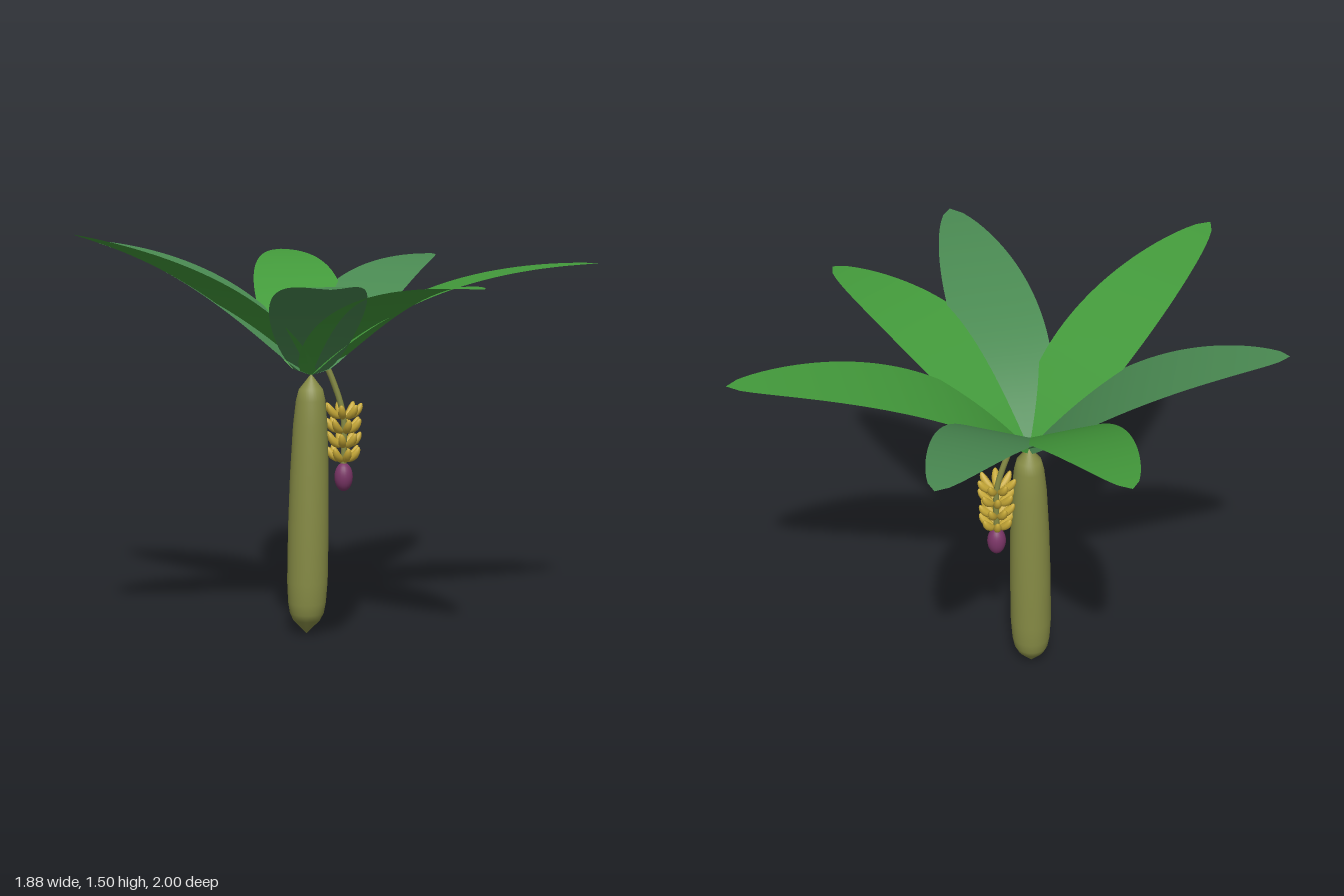
import * as THREE from 'three';

const paint = (name, color, side = THREE.FrontSide) => {
  const m = new THREE.MeshStandardMaterial({ color, side });
  m.name = name;
  return m;
};

export function createModel() {
  const bright = paint('bright leaf green', 0x439a3b, THREE.DoubleSide);
  const cool = paint('cool leaf green', 0x4a8a52, THREE.DoubleSide);
  const olive = paint('stem olive', 0x868b45);
  const yellow = paint('fruit yellow', 0xc8aa38);
  const purple = paint('bud purple', 0x7a3566);

  const tree = new THREE.Group();
  tree.name = 'bananaPlant';
  const add = (parent, name, geometry, material) => {
    const mesh = new THREE.Mesh(geometry, material);
    mesh.name = name;
    parent.add(mesh);
    return mesh;
  };

  // Trunk: pointed at both ends, leaning slightly towards +x
  const profile = [[0, 0], [0.05, 0.053], [0.063, 0.08], [0.07, 0.12], [0.075, 0.2], [0.075, 0.4],
    [0.071, 0.6], [0.063, 0.78], [0.054, 0.87], [0.044, 0.91], [0, 0.967]];
  const trunk = new THREE.LatheGeometry(profile.map(p => new THREE.Vector2(...p)), 32);
  const tp = trunk.attributes.position;
  for (let i = 0; i < tp.count; i++) tp.setX(i, tp.getX(i) - 0.12 + 0.02 * tp.getY(i));
  trunk.translate(0, 0, -0.1);
  add(tree, 'trunk', trunk, olive);

  // Leaves: broad blades that rise from the crown and level out to a pointed tip
  const crown = new THREE.Group();
  crown.name = 'leafCrown';
  crown.position.set(-0.1, 0.96, -0.105);
  tree.add(crown);
  const tips = [[0.94, 1.365, -0.03], [0.445, 1.355, -0.815], [-0.14, 1.365, -1], [-0.88, 1.43, -0.51],
    [-0.94, 1.5, 0.35], [-0.14, 1.36, 1], [0.39, 1.335, 0.73]];
  tips.forEach((tip, i) => {
    const dx = tip[0] - crown.position.x, dz = tip[2] - crown.position.z;
    const length = Math.hypot(dx, dz), rise = tip[1] - crown.position.y;
    const blade = new THREE.PlaneGeometry(1, 1, 4, 32);
    const pos = blade.attributes.position;
    for (let k = 0; k < pos.count; k++) {
      const t = pos.getY(k) + 0.5;
      const along = 2 * t * (1 - t) * 0.35 + t * t * length;
      const up = 2 * t * (1 - t) * Math.min(0.4, rise + 0.01) + t * t * rise;
      const swell = Math.max(0, Math.sin(Math.PI * Math.pow(Math.min(1, along / length), 0.7)));
      pos.setXYZ(k, pos.getX(k) * 0.332 * Math.pow(swell, 0.62), up, -along);
    }
    blade.computeVertexNormals();
    const leaf = add(crown, 'leaf' + (i + 1), blade, i % 2 ? cool : bright);
    leaf.rotation.y = Math.atan2(-dx, -dz);
  });

  // Fruit stalk hanging from the crown
  const bunch = new THREE.Group();
  bunch.name = 'fruitBunch';
  bunch.position.set(0.018, 0, -0.1);
  tree.add(bunch);
  const path = new THREE.CatmullRomCurve3([[-0.058, 0.985], [-0.043, 0.95], [-0.012, 0.86], [0, 0.8], [0, 0.62]]
    .map(([x, y]) => new THREE.Vector3(x, y, 0)));
  add(bunch, 'fruitStalk', new THREE.TubeGeometry(path, 24, 0.011, 8), olive);

  // Tiers of curved fruits pointing up and out
  const fruit = new THREE.SphereGeometry(1, 10, 10);
  const fp = fruit.attributes.position;
  for (let i = 0; i < fp.count; i++) {
    const y = fp.getY(i);
    fp.setXYZ(i, fp.getX(i) * 0.0145 - 0.008 * y * y, y * 0.038, fp.getZ(i) * 0.0145);
  }
  fruit.computeVertexNormals();
  fruit.rotateZ(-0.8);
  for (let tier = 0; tier < 4; tier++) {
    for (let k = 0; k < 7; k++) {
      const angle = (k + (tier % 2) / 2) * Math.PI * 2 / 7;
      const r = 0.046 - tier * 0.002;
      const mesh = add(bunch, 'fruit', fruit, yellow);
      mesh.position.set(r * Math.cos(angle), 0.824 - tier * 0.053, -r * Math.sin(angle));
      mesh.rotation.y = angle;
    }
  }

  // Flower bud
  const bud = add(bunch, 'flowerBud', new THREE.SphereGeometry(1, 20, 16), purple);
  bud.scale.set(0.034, 0.053, 0.034);
  bud.position.y = 0.585;

  return tree;
}
